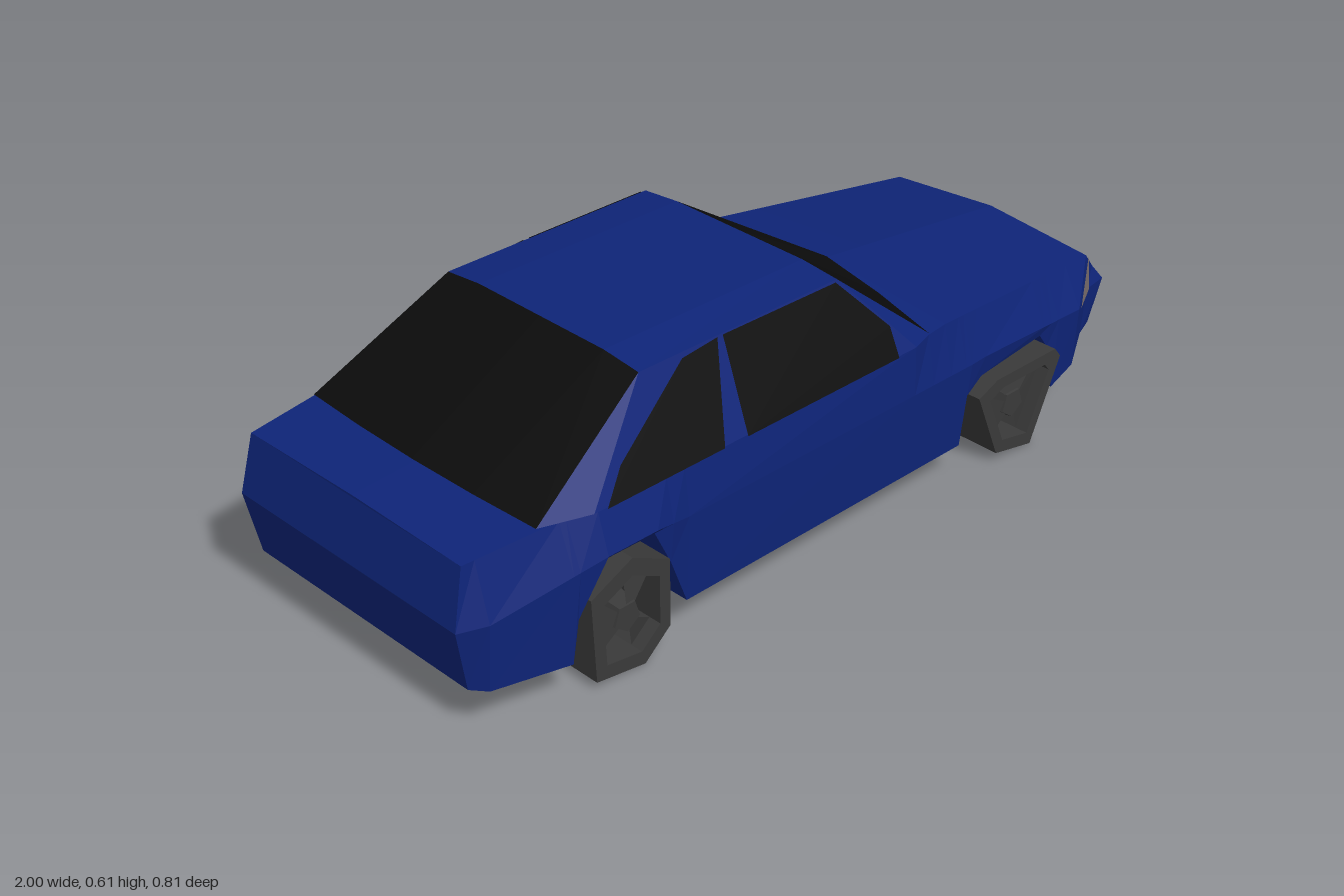
import * as THREE from 'three';

const paint = new THREE.MeshStandardMaterial({ color: 0x0e2478, flatShading: true });
const glass = new THREE.MeshStandardMaterial({ color: 0x0b0b0b, flatShading: true, side: THREE.DoubleSide });
const rubber = new THREE.MeshStandardMaterial({ color: 0x3a3a3a, flatShading: true, side: THREE.DoubleSide });
const lens = new THREE.MeshStandardMaterial({ color: 0x766a6a, flatShading: true, side: THREE.DoubleSide });
paint.name = 'blue paint';
glass.name = 'dark glass';
rubber.name = 'grey wheel';
lens.name = 'lamp lens';

const flip = ([x, y, z]) => [x, y, -z];

// Mesh from convex polygons, each split as a fan
function polyMesh(name, polys, material) {
  const pos = [];
  for (const p of polys)
    for (let i = 1; i < p.length - 1; i++) pos.push(...p[0], ...p[i], ...p[i + 1]);
  const geo = new THREE.BufferGeometry();
  geo.setAttribute('position', new THREE.Float32BufferAttribute(pos, 3));
  geo.computeVertexNormals();
  const mesh = new THREE.Mesh(geo, material);
  mesh.name = name;
  return mesh;
}

// Polygons plus their copies on the other side of the car
const mirrored = polys => [...polys, ...polys.map(p => p.map(flip).reverse())];

// Straight-line curve through a few [x, value] points
const curve = (...pts) => x => {
  const i = Math.max(1, pts.findIndex(p => p[0] >= x));
  const [[x0, v0], [x1, v1]] = [pts[i - 1], pts[i]];
  return v0 + (v1 - v0) * (x - x0) / (x1 - x0);
};

// Body lines along the length of the car
const floorY = curve([-0.97, 0.11], [-0.75, 0.085], [0.76, 0.075], [0.97, 0.14]);
const waistY = curve([-0.97, 0.26], [-0.67, 0.31], [-0.54, 0.31], [-0.44, 0.29], [0.48, 0.28], [0.84, 0.25], [0.97, 0.25]);
const waistZ = curve([-0.97, 0.34], [-0.94, 0.37], [-0.67, 0.405], [-0.54, 0.405], [-0.44, 0.39], [0.43, 0.378], [0.84, 0.35], [0.93, 0.3], [0.97, 0.29]);
const shoulderY = curve([-0.97, 0.395], [-0.75, 0.405], [-0.67, 0.4], [0.36, 0.4], [0.93, 0.335], [0.97, 0.29]);
const shoulderZ = curve([-0.97, 0.33], [-0.75, 0.355], [-0.67, 0.377], [0.24, 0.377], [0.3, 0.36], [0.93, 0.29], [0.97, 0.28]);
const centreY = curve([-0.97, 0.4], [-0.75, 0.412], [-0.67, 0.4], [0.3, 0.405], [0.36, 0.43], [0.93, 0.36], [0.97, 0.3]);

// Wheel arches: x position and rise above the floor
const arches = [
  [-0.75, 0], [-0.735, 0.1], [-0.67, 0.215], [-0.54, 0.215], [-0.49, 0.12], [-0.44, 0],
  [0.41, 0], [0.43, 0.12], [0.48, 0.15], [0.7, 0.16], [0.73, 0.12], [0.76, 0],
];
const archRise = curve([-0.97, 0], ...arches, [0.97, 0]);
const stations = [-0.97, -0.94, 0.24, 0.3, 0.36, 0.84, 0.93, 0.97, ...arches.map(a => a[0])].sort((a, b) => a - b);

// Left half of a body section, from floor to top centre
function halfSection(x) {
  const floor = floorY(x), rise = archRise(x), waist = waistZ(x);
  const bulge = Math.abs(x) === 0.97 ? Math.sign(x) * 0.03 : 0;
  return [
    [x, floor, 0], [x, floor, 0.25], [x, floor + rise, 0.25],
    [x, floor + rise, waist - 0.01], [x + bulge, waistY(x), waist],
    [x, shoulderY(x), shoulderZ(x)], [x, centreY(x), 0],
  ];
}

function bodyPolys() {
  const halves = stations.map(halfSection);
  const sides = [];
  for (let s = 0; s < halves.length - 1; s++)
    for (let i = 0; i < 6; i++)
      sides.push([halves[s][i], halves[s + 1][i], halves[s + 1][i + 1], halves[s][i + 1]]);
  // Tail and nose panels
  const cap = half => [1, 2, 3, 4, 5].map(i => [half[i], flip(half[i]), flip(half[i + 1]), half[i + 1]]);
  const tail = cap(halves[0]).map(p => p.reverse());
  return [...mirrored(sides), ...tail, ...cap(halves[halves.length - 1])];
}

// Cabin corners on the left side
const rearBase = [-0.8, 0.407, 0.347], rearRoof = [-0.48, 0.595, 0.29];
const frontRoof = [0.08, 0.59, 0.29], frontBase = [0.3, 0.403, 0.36];
const beltRear = [-0.68, 0.4, 0.378], beltFront = [0.24, 0.4, 0.378];
const rearCrown = [-0.48, 0.605, 0.19], frontCrown = [0.08, 0.599, 0.19];
const rearCentre = [-0.48, 0.605, 0], frontCentre = [0.08, 0.599, 0];
const cowl = [0.335, 0.419, 0.18], deck = [-0.815, 0.414, 0.18];

function addCabin(car) {
  car.add(polyMesh('cabinShell', mirrored([
    [rearBase, beltRear, rearRoof],
    [beltRear, beltFront, frontRoof, rearRoof],
    [beltFront, frontBase, frontRoof],
    [rearRoof, frontRoof, frontCrown, rearCrown],
    [rearCrown, frontCrown, frontCentre, rearCentre],
  ]), paint));

  car.add(polyMesh('windshield', mirrored([
    [frontBase, cowl, frontCrown, frontRoof],
    [cowl, [0.36, 0.432, 0], frontCentre, frontCrown],
  ]), glass));

  car.add(polyMesh('rearWindow', mirrored([
    [rearBase, rearRoof, rearCrown, deck],
    [deck, rearCrown, rearCentre, [-0.82, 0.416, 0]],
  ]), glass));

  // Side windows lie just proud of the sloping cabin side
  const onSide = ([x, y]) => [x, y, 0.383 - (y - 0.4) * 0.088 / 0.19];
  const frontPane = [[-0.27, 0.4], [0.18, 0.4], [0.18, 0.465], [0.07, 0.588], [-0.255, 0.592]];
  const rearPane = [[-0.65, 0.4], [-0.335, 0.4], [-0.27, 0.592], [-0.37, 0.585], [-0.59, 0.46]];
  car.add(polyMesh('frontSideWindows', mirrored([frontPane.map(onSide)]), glass));
  car.add(polyMesh('rearSideWindows', mirrored([rearPane.map(onSide)]), glass));
}

// Crooked faceted wheel: open rim, hub block and three blades
function makeWheel(name, outline) {
  const wheel = new THREE.Group();
  wheel.name = name;
  const scaled = k => outline.map(([x, y]) => new THREE.Vector2(x * k, y * k));
  const rim = new THREE.Shape(scaled(1));
  rim.holes.push(new THREE.Path(scaled(0.72)));
  const tyre = new THREE.Mesh(
    new THREE.ExtrudeGeometry(rim, { depth: 0.125, bevelEnabled: false }), rubber);
  tyre.name = 'tyre';
  tyre.position.z = -0.0625;
  const inner = scaled(0.75);
  const blades = [0, 2, 4].map(i => [
    [0, 0, 0.045], [inner[i].x, inner[i].y, 0.03], [inner[i + 1].x, inner[i + 1].y, 0.03],
  ]);
  const hub = new THREE.Mesh(new THREE.CylinderGeometry(0.035, 0.05, 0.09, 5), rubber);
  hub.rotation.x = Math.PI / 2;
  hub.name = 'hub';
  wheel.add(tyre, hub, polyMesh('wheelBlades', blades, rubber));
  return wheel;
}

export function createModel() {
  const car = new THREE.Group();
  car.name = 'car';
  car.add(polyMesh('body', bodyPolys(), paint));
  addCabin(car);

  // Corner headlamps
  car.add(polyMesh('headlamps', mirrored([
    [[0.845, 0.252, 0.352], [0.934, 0.252, 0.304], [0.934, 0.333, 0.295]],
  ]), lens));

  const frontOutline = [[-0.14, 0.075], [-0.07, -0.095], [0.05, -0.12], [0.14, 0.075], [0.12, 0.1], [-0.08, 0.1]];
  const rearOutline = [[-0.11, 0.1], [-0.1, -0.1], [0.03, -0.12], [0.1, -0.06], [0.1, 0.1], [0, 0.15]];
  for (const side of [1, -1]) {
    for (const [name, x, outline] of [['frontWheel', 0.58, frontOutline], ['rearWheel', -0.6, rearOutline]]) {
      const wheel = makeWheel(name, outline);
      wheel.position.set(x, 0.12, side * 0.333);
      wheel.scale.z = side;
      car.add(wheel);
    }
  }
  return car;
}
